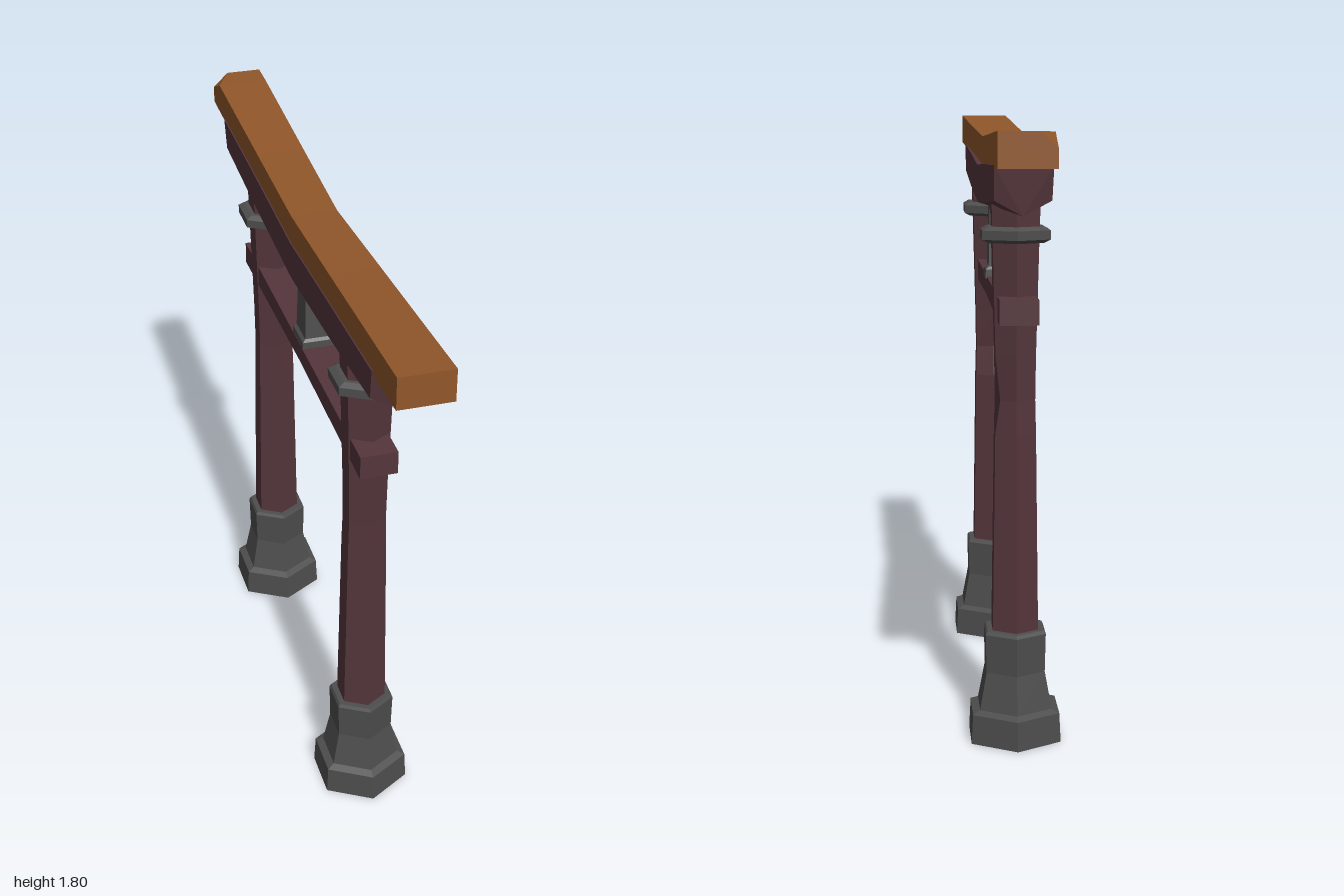
import * as THREE from 'three';

const paint = (name, color) => {
  const m = new THREE.MeshStandardMaterial({ color, flatShading: true });
  m.name = name;
  return m;
};

// Skin a row of equal-sized point rings, closed with caps at both ends.
function loft(rings) {
  const pos = [];
  const tri = (a, b, c) => pos.push(...a, ...b, ...c);
  const n = rings[0].length;
  for (let i = 0; i < rings.length - 1; i++) {
    for (let j = 0; j < n; j++) {
      const k = (j + 1) % n;
      tri(rings[i][j], rings[i][k], rings[i + 1][k]);
      tri(rings[i][j], rings[i + 1][k], rings[i + 1][j]);
    }
  }
  const first = rings[0], last = rings[rings.length - 1];
  for (let j = 1; j < n - 1; j++) {
    tri(first[0], first[j + 1], first[j]);
    tri(last[0], last[j], last[j + 1]);
  }
  const g = new THREE.BufferGeometry();
  g.setAttribute('position', new THREE.Float32BufferAttribute(pos, 3));
  g.computeVertexNormals();
  return g;
}

// Six-sided ring with its corners on the z axis.
const hexRing = (r, y) => Array.from({ length: 6 }, (_, k) => {
  const a = k * Math.PI / 3;
  return [Math.sin(a) * r, y, Math.cos(a) * r];
});
const hexRings = (profile) => profile.map(([r, y]) => hexRing(r, y));

export function createModel() {
  const model = new THREE.Group();
  model.name = 'gate';
  const orange = paint('orangeWood', 0x91572b);
  const maroon = paint('maroonWood', 0x55363c);
  const stone = paint('greyStone', 0x4e4e4e);

  const add = (parent, name, geometry, material) => {
    const mesh = new THREE.Mesh(geometry, material);
    mesh.name = name;
    parent.add(mesh);
    return mesh;
  };

  // Two pillars, each with a stepped stone foot and a stone collar
  for (const [side, z] of [['front', 0.513], ['back', -0.538]]) {
    const pillar = new THREE.Group();
    pillar.name = side + 'Pillar';
    pillar.position.z = z;
    model.add(pillar);

    add(pillar, 'foot', loft(hexRings([
      [0.152, 0], [0.147, 0.088], [0.122, 0.098], [0.099, 0.21], [0.102, 0.325], [0.096, 0.335],
    ])), stone);

    const shaft = hexRings([
      [0.077, 0.32], [0.068, 0.92], [0.065, 1.02], [0.067, 1.15], [0.077, 1.5], [0.081, 1.62],
    ]);
    // Chipped corner on each shaft
    if (side === 'front') shaft[2][3][2] += 0.02;
    else shaft[2][2][0] -= 0.012;
    add(pillar, 'shaft', loft(shaft), maroon);

    const collar = add(pillar, 'collar', loft(hexRings([
      [0.092, 1.472], [0.112, 1.482], [0.112, 1.508], [0.092, 1.518],
    ])), stone);
    collar.rotation.x = side === 'front' ? -0.02 : 0.02;
    collar.position.z = side === 'front' ? 0.03 : -0.03;
  }

  // Tie beam, slightly arched underneath
  add(model, 'tieBeam', loft([[-0.675, 1.25], [0, 1.263], [0.65, 1.25]].map(([z, y]) => [
    [-0.058, y, z], [0.053, y, z], [0.053, 1.322, z], [-0.058, 1.322, z],
  ])), maroon);

  // Central strut with a flared foot
  add(model, 'strut', loft([
    [0.058, 0.058, 1.315], [0.056, 0.057, 1.343], [0.047, 0.05, 1.352], [0.042, 0.04, 1.57],
  ].map(([w, d, y]) => [
    [-w, y, d - 0.011], [w, y, d - 0.011], [w, y, -d - 0.011], [-w, y, -d - 0.011],
  ])), stone);

  // Lower lintel with a V-shaped underside and raking ends: [z top, z bottom, keel, side edge, top]
  add(model, 'lowerLintel', loft([
    [-0.838, -0.82, 1.565, 1.607, 1.702],
    [-0.4, -0.4, 1.545, 1.572, 1.685],
    [0, 0, 1.533, 1.548, 1.665],
    [0.4, 0.4, 1.545, 1.572, 1.685],
    [0.808, 0.79, 1.565, 1.607, 1.702],
  ].map(([zt, zb, keel, edge, top]) => [
    [0, keel, zb], [0.077, edge, zb], [0.079, top, zt], [-0.082, top, zt], [-0.079, edge, zb],
  ])), maroon);

  // Upper beam, bent in the middle, one corner cut off: [z, bottom, +x side, corner drop]
  add(model, 'upperBeam', loft([
    [-1, 1.7, 0.08, 0.045],
    [-0.91, 1.696, 0.08, 0],
    [-0.4, 1.673, 0.07, 0],
    [0, 1.656, 0.062, 0],
    [0.4, 1.673, 0.07, 0],
    [1, 1.7, 0.08, 0],
  ].map(([z, y, w, drop]) => [
    [-0.078, y, z], [w, y, z], [w, y + 0.096, z], [-0.03, y + 0.096, z], [-0.078, y + 0.096 - drop, z],
  ])), orange);

  return model;
}
